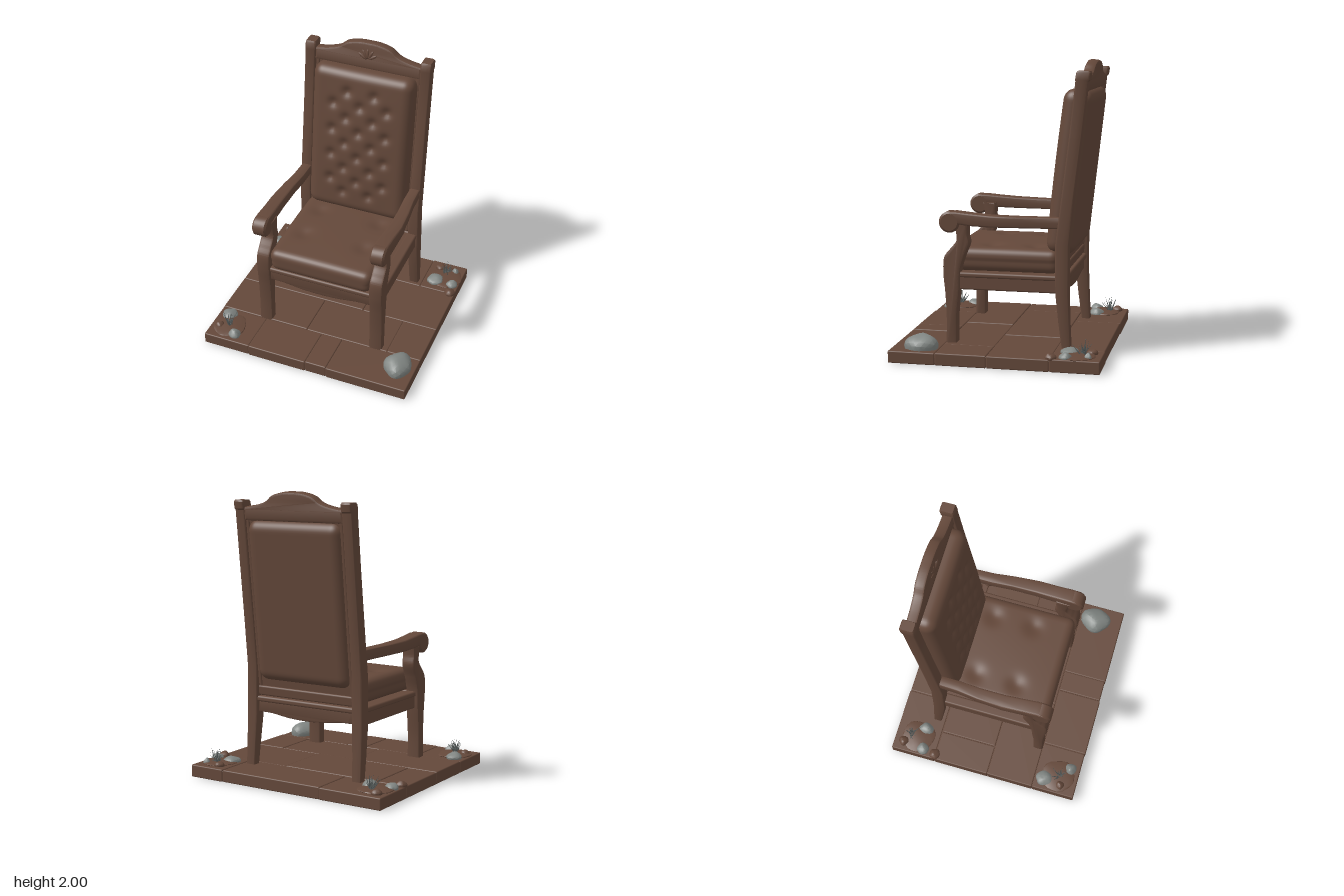
import * as THREE from 'three';
import { mergeVertices, toCreasedNormals, mergeGeometries } from 'three/addons/utils/BufferGeometryUtils.js';
import { RoundedBoxGeometry } from 'three/addons/geometries/RoundedBoxGeometry.js';

const V = (x, y, z) => new THREE.Vector3(x, y, z);
const P = (x, y) => new THREE.Vector2(x, y);

export function createModel() {
  const model = new THREE.Group();
  const mat = (name, hex) => Object.assign(new THREE.MeshStandardMaterial({ color: hex }), { name });
  const brown = mat('brown wood', 0x64483a);
  const stone = mat('grey stone', 0x808582);
  const grass = mat('dark grass', 0x5c6362);

  function add(name, geo, material = brown, parent = model) {
    const mesh = new THREE.Mesh(geo, material);
    mesh.name = name;
    parent.add(mesh);
    return mesh;
  }

  // Box given by its limits, with softened edges
  function block(name, x0, x1, y0, y1, z0, z1, r = 0.012, parent = model) {
    const m = add(name, new RoundedBoxGeometry(x1 - x0, y1 - y0, z1 - z0, 2, r), brown, parent);
    m.position.set((x0 + x1) / 2, (y0 + y1) / 2, (z0 + z1) / 2);
    return m;
  }

  // Rounded rectangle outline as pairs of offsets
  const outline = (a, b, n = 24) => Array.from({ length: n }, (_, i) => {
    const t = (i / n) * Math.PI * 2, c = Math.cos(t), s = Math.sin(t);
    return [a * Math.sign(c) * Math.abs(c) ** 0.28, b * Math.sign(s) * Math.abs(s) ** 0.28];
  });

  // Solid through a row of rings, closed at both ends
  function loft(rings) {
    const n = rings[0].length, last = rings.length - 1, idx = [];
    const pts = rings.flat();
    const mid = (r) => r.reduce((c, p) => c.add(p), V(0, 0, 0)).divideScalar(n);
    const c0 = pts.push(mid(rings[0])) - 1, c1 = pts.push(mid(rings[last])) - 1;
    for (let i = 0; i < n; i++) {
      const j = (i + 1) % n;
      for (let k = 0; k < last; k++) {
        const a = k * n + i, b = k * n + j;
        idx.push(a, a + n, b, b, a + n, b + n);
      }
      idx.push(c0, i, j, c1, last * n + j, last * n + i);
    }
    const g = new THREE.BufferGeometry().setFromPoints(pts);
    g.setIndex(idx);
    return toCreasedNormals(g, 0.6);
  }

  // Extruded outline with a small bevel, centred on its depth
  function plate(shape, depth, bevel = 0.012) {
    const g = new THREE.ExtrudeGeometry(shape, {
      depth: depth - 2 * bevel, bevelThickness: bevel, bevelSize: bevel, bevelOffset: -bevel,
      bevelSegments: 2, curveSegments: 24,
    });
    g.translate(0, 0, -depth / 2 + bevel);
    return toCreasedNormals(g, 0.5);
  }

  // Finely divided rounded box whose vertices are then moved by a rule
  function cushion(w, h, d, r, segs, rule) {
    const g = new THREE.BoxGeometry(w, h, d, ...segs);
    g.deleteAttribute('uv');
    g.deleteAttribute('normal');
    const m = mergeVertices(g), pos = m.attributes.position, p = V(0, 0, 0);
    const lim = V(w / 2 - r, h / 2 - r, d / 2 - r);
    for (let i = 0; i < pos.count; i++) {
      p.fromBufferAttribute(pos, i);
      const inner = p.clone().clamp(lim.clone().negate(), lim);
      p.sub(inner).setLength(r).add(inner);
      rule(p);
      pos.setXYZ(i, p.x, p.y, p.z);
    }
    m.computeVertexNormals();
    return m;
  }
  const dent = (u, v, spots, size) =>
    spots.reduce((s, [a, b]) => s + Math.exp(-((u - a) ** 2 + (v - b) ** 2) / size ** 2), 0);

  // Plank floor with staggered joints
  const rows = [-0.715, -0.38, 0.04, 0.39, 0.715];
  const joints = [[-0.3, 0.5], [-0.55, 0.2], [-0.1, 0.52], [-0.42, 0.02, 0.18]];
  block('floorCore', -0.768, 0.768, 0.006, 0.079, -0.708, 0.708, 0.01);
  joints.forEach((cuts, r) => {
    const xs = [-0.773, ...cuts, 0.773];
    for (let i = 0; i < xs.length - 1; i++) {
      const lift = 0.002 * ((i + r) % 3), jut = 0.004 * ((i + r) % 2);
      block('floorPlank', xs[i] + 0.001, xs[i + 1] - 0.001, 0, 0.083 + lift,
        rows[r] + 0.001 + (r === 0 ? jut : 0), rows[r + 1] - 0.001 - (r === 3 ? jut : 0), 0.008);
    }
  });

  // Curved front leg profile, drawn as (z, y)
  const legShape = new THREE.Shape([P(0.39, 0.07)]);
  legShape.splineThru([P(0.387, 0.25), P(0.395, 0.42), P(0.408, 0.56), P(0.402, 0.67), P(0.36, 0.73),
    P(0.315, 0.79), P(0.32, 0.86), P(0.335, 0.93)]);
  legShape.lineTo(0.23, 0.93);
  legShape.splineThru([P(0.238, 0.84), P(0.228, 0.77), P(0.262, 0.68), P(0.29, 0.58), P(0.298, 0.44),
    P(0.315, 0.25), P(0.315, 0.07)]);
  const scrollProfile = [[0, -0.052], [0.058, -0.052], [0.072, -0.04], [0.072, 0.04], [0.058, 0.052], [0, 0.052]]
    .map((p) => P(...p));

  // Back post: height, centre z, half depth, centre x, half width
  const postRows = [[0.07, -0.442, 0.03, 0.437, 0.035], [0.25, -0.425, 0.038, 0.435, 0.037],
    [0.45, -0.41, 0.045, 0.43, 0.042], [0.78, -0.408, 0.047, 0.427, 0.041], [1.1, -0.445, 0.044, 0.427, 0.04],
    [1.5, -0.492, 0.043, 0.427, 0.039], [1.87, -0.533, 0.043, 0.427, 0.039], [1.88, -0.538, 0.05, 0.427, 0.04],
    [1.925, -0.545, 0.05, 0.427, 0.04], [1.938, -0.546, 0.042, 0.427, 0.034]];
  // Arm: z, centre y, half height, centre x, half width
  const armRows = [[-0.4, 0.928, 0.038, 0.423, 0.036], [-0.25, 0.927, 0.038, 0.426, 0.039],
    [-0.1, 0.928, 0.038, 0.44, 0.043], [0.08, 0.93, 0.04, 0.447, 0.049], [0.22, 0.937, 0.043, 0.441, 0.05],
    [0.32, 0.947, 0.042, 0.438, 0.052], [0.37, 0.952, 0.034, 0.438, 0.051]];

  for (const s of [-1, 1]) {
    const leg = add('frontLeg', plate(legShape, 0.098, 0.015));
    leg.rotation.y = -Math.PI / 2;
    leg.position.x = s * 0.427;
    add('backPost', loft(postRows.map(([y, z, dz, x, dx]) =>
      outline(dx, dz).map(([a, b]) => V(s * x + a, y, z + b)))));
    add('armRest', loft(armRows.map(([z, y, dy, x, dx]) =>
      outline(dy, dx).map(([a, b]) => V(s * x + b, y + a, z)))));
    const scroll = add('armScroll', toCreasedNormals(new THREE.LatheGeometry(scrollProfile, 32), 0.5));
    scroll.rotation.z = Math.PI / 2;
    scroll.position.set(s * 0.438, 0.917, 0.36);

    // Side rail with a moulding along its top
    const x = s * 0.42;
    block('sideRail', x - 0.03, x + 0.03, 0.45, 0.555, -0.4, 0.33);
    block('sideMoulding', x - 0.038, x + 0.038, 0.535, 0.572, -0.38, 0.33, 0.014);
  }

  // Seat frame
  const apron = new THREE.Shape([P(-0.39, 0.56), P(-0.39, 0.46)]);
  apron.splineThru([P(-0.28, 0.458), P(-0.14, 0.44), P(0, 0.434), P(0.14, 0.44), P(0.28, 0.458), P(0.39, 0.46)]);
  apron.lineTo(0.39, 0.56);
  add('frontApron', plate(apron, 0.06)).position.z = 0.35;
  block('frontMoulding', -0.39, 0.39, 0.535, 0.572, 0.3, 0.392, 0.014);
  add('backApron', plate(apron, 0.05)).position.z = -0.405;
  block('backMoulding', -0.4, 0.4, 0.535, 0.575, -0.445, -0.37, 0.014);
  block('seatDeck', -0.4, 0.4, 0.5, 0.565, -0.4, 0.35);

  // Seat cushion with four soft dimples
  const seatSpots = [[-0.23, 0.1], [0.23, 0.1], [-0.23, -0.2], [0.23, -0.2]];
  const seat = add('seatCushion', cushion(0.77, 0.165, 0.77, 0.055, [44, 14, 44], (p) => {
    if (p.y > 0) {
      const puff = (1 - (p.x / 0.385) ** 2) * (1 - (p.z / 0.385) ** 2);
      p.y += 0.012 * puff - 0.018 * dent(p.x, p.z, seatSpots, 0.06);
    } else p.x *= 0.985;
  }));
  seat.position.set(0, 0.645, 0.012);

  // Leaning back: everything here shares the tilt of the posts
  const back = new THREE.Group();
  back.name = 'backRest';
  back.position.set(0, 0.75, -0.41);
  back.rotation.x = -0.113;
  model.add(back);
  block('backPanel', -0.395, 0.395, -0.14, 1.12, -0.022, 0.02, 0.006, back);
  block('lowerBackRail', -0.395, 0.395, -0.17, -0.1, -0.035, 0.025, 0.012, back);
  for (const s of [-1, 1]) block('panelEdge', s * 0.375 - 0.014, s * 0.375 + 0.014, -0.14, 1.1, -0.03, 0.026, 0.01, back);

  // Arched crest rail
  const crest = new THREE.Shape([P(-0.395, 1.06), P(0.395, 1.06), P(0.395, 1.15)]);
  crest.splineThru([P(0.3, 1.165), P(0.22, 1.19), P(0.16, 1.232), P(0.08, 1.253), P(0, 1.257),
    P(-0.08, 1.253), P(-0.16, 1.232), P(-0.22, 1.19), P(-0.3, 1.165), P(-0.395, 1.15)]);
  add('crestRail', plate(crest, 0.075, 0.016), brown, back);
  for (let i = -2; i <= 2; i++) {
    const petal = add('carvedPetal', new THREE.SphereGeometry(1, 12, 8), brown, back);
    petal.scale.set(0.011, 0.036, 0.008);
    petal.rotation.z = -i * 0.5;
    petal.position.set(Math.sin(i * 0.5) * 0.045, 1.13 + Math.cos(i * 0.5) * 0.045, 0.037);
  }

  // Tufted back cushion: dimples in a diamond pattern
  const tufts = [];
  for (let r = 0; r < 9; r++) {
    for (const x of r % 2 ? [-0.2, 0, 0.2] : [-0.1, 0.1]) tufts.push([x, -0.4 + r * 0.1]);
  }
  const pad = add('backCushion', cushion(0.75, 1.12, 0.2, 0.075, [50, 76, 12], (p) => {
    if (p.z > 0) {
      const puff = (1 - (p.x / 0.375) ** 2) * (1 - (p.y / 0.56) ** 2);
      p.z += 0.022 * puff - 0.024 * dent(p.x, p.y, tufts, 0.036);
    }
  }), brown, back);
  pad.position.set(0, 0.505, 0.032);

  // Uneven lump for stones and soil
  function lump(name, material, x, z, rx, ry, rz, y = 0.085) {
    const g = mergeVertices(new THREE.IcosahedronGeometry(1, 3).deleteAttribute('uv').deleteAttribute('normal'));
    const pos = g.attributes.position, p = V(0, 0, 0);
    for (let i = 0; i < pos.count; i++) {
      p.fromBufferAttribute(pos, i);
      p.multiplyScalar(1 + 0.09 * Math.sin(p.x * 3 + x * 40) * Math.cos(p.z * 4 + z * 30) + 0.04 * Math.sin(p.y * 6 + x * 9));
      p.y = Math.max(p.y, -0.3);
      pos.setXYZ(i, p.x * rx, p.y * ry, p.z * rz);
    }
    add(name, toCreasedNormals(g, 0.45), material).position.set(x, y, z);
  }
  lump('boulder', stone, 0.645, 0.51, 0.095, 0.1, 0.112);
  [[-0.685, 0.465, 0.055, 0.062], [-0.565, 0.638, 0.044, 0.042], [0.587, -0.49, 0.062, 0.064], [0.72, -0.48, 0.042, 0.042],
    [0.702, -0.627, 0.025, 0.024], [-0.563, -0.5, 0.045, 0.055], [-0.72, -0.48, 0.044, 0.044]]
    .forEach(([x, z, rx, rz]) => lump('stone', stone, x, z, rx, 0.042, rz));
  [[-0.705, 0.59, 0.032], [0.58, -0.64, 0.036], [0.735, -0.385, 0.038], [-0.735, -0.385, 0.04], [-0.7, -0.64, 0.036]]
    .forEach(([x, z, r]) => lump('soilClod', brown, x, z, r, 0.036, r));
  [[-0.64, 0.56], [0.65, -0.55], [-0.64, -0.54]]
    .forEach(([x, z]) => lump('soilPatch', brown, x, z, 0.12, 0.02, 0.12));

  // Grass tufts of thin tilted blades
  let seed = 7;
  const rnd = () => (seed = (seed * 16807) % 2147483647) / 2147483647;
  [[-0.635, 0.57], [0.645, -0.59], [-0.63, -0.595]].forEach(([x, z]) => {
    const blades = [];
    for (let i = 0; i < 18; i++) {
      const h = 0.06 + 0.06 * rnd();
      const blade = new THREE.ConeGeometry(0.005, h, 4).translate(0, h / 2, 0);
      blade.rotateZ(0.1 + 0.65 * rnd()).rotateY(i * 2.4);
      blades.push(blade.translate(0.03 * (rnd() - 0.5), 0, 0.03 * (rnd() - 0.5)));
    }
    add('grassTuft', mergeGeometries(blades), grass).position.set(x, 0.09, z);
  });

  return model;
}
